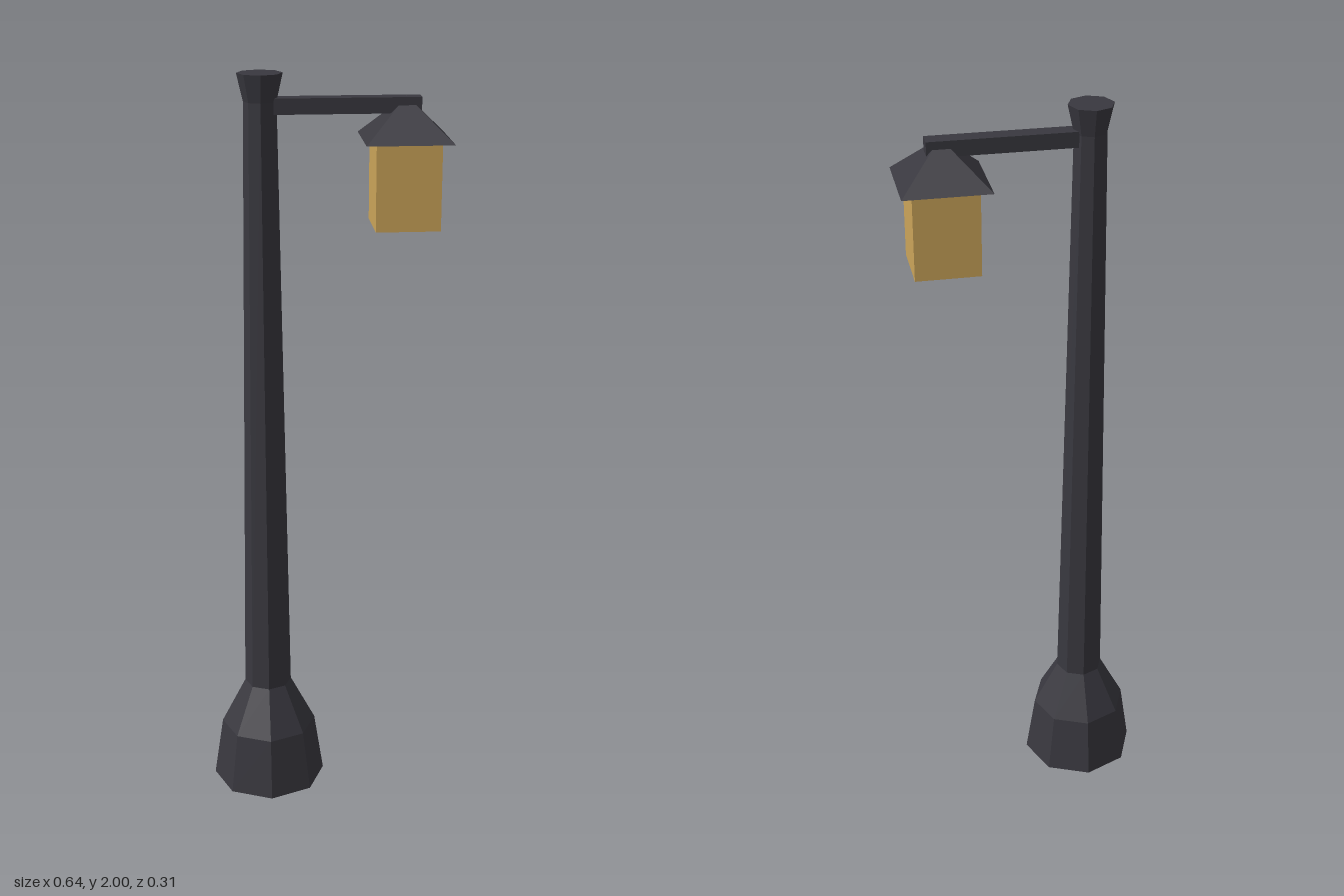
import * as THREE from 'three';

export function createModel() {
  const lamp = new THREE.Group();
  lamp.name = 'streetLamp';

  const iron = new THREE.MeshStandardMaterial({ color: 0x39383f });
  iron.name = 'darkIron';
  const glow = new THREE.MeshStandardMaterial({ color: 0xcca55a });
  glow.name = 'amberGlass';

  const poleX = -0.162, lanternX = 0.206;

  function add(name, geometry, material, x, y, z = 0) {
    const flat = geometry.index ? geometry.toNonIndexed() : geometry;
    flat.computeVertexNormals();
    const mesh = new THREE.Mesh(flat, material);
    mesh.name = name;
    mesh.position.set(x, y, z);
    lamp.add(mesh);
    return mesh;
  }

  // Octagonal post parts: [name, bottom y, bottom radius, top y, top radius]
  const sections = [
    ['baseFoot', 0, 0.157, 0.17, 0.132],
    ['baseShoulder', 0.17, 0.132, 0.3, 0.065],
    ['pole', 0.3, 0.065, 1.93, 0.042],
    ['poleCap', 1.93, 0.042, 2, 0.058],
  ];
  for (const [name, y0, r0, y1, r1] of sections) {
    const open = name === 'baseShoulder' || name === 'pole';
    add(name, new THREE.CylinderGeometry(r1, r0, y1 - y0, 8, 1, open), iron, poleX, (y0 + y1) / 2);
  }

  // Arm reaching from the post over the lantern
  const armStart = -0.15, armEnd = 0.243;
  add('arm', new THREE.BoxGeometry(armEnd - armStart, 0.04, 0.044), iron, (armStart + armEnd) / 2, 1.919);

  // Four-sided pyramid roof, its tip just through the arm
  const roof = new THREE.ConeGeometry(0.111 * Math.SQRT2, 0.107, 4);
  roof.rotateY(Math.PI / 4);
  add('lanternRoof', roof, iron, lanternX, 1.8865);

  // Glowing lantern box
  add('lanternGlass', new THREE.BoxGeometry(0.166, 0.222, 0.166), glow, lanternX, 1.722);

  return lamp;
}
